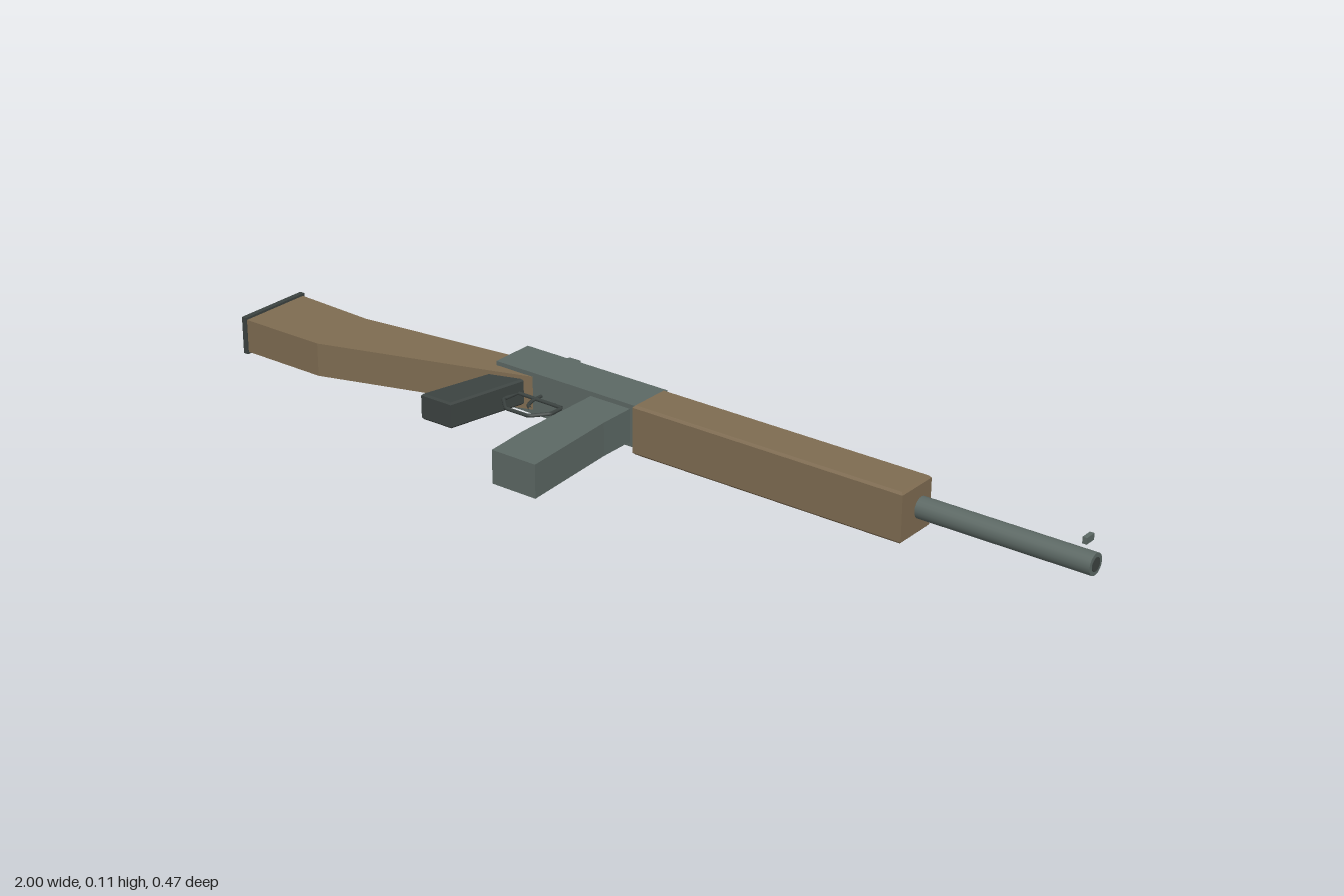
import * as THREE from 'three';

const MID = 0.055; // height of the centre plane; the rifle lies on its side

export function createModel() {
  const group = new THREE.Group();
  const material = (name, color) => {
    const m = new THREE.MeshStandardMaterial({ color });
    m.name = name;
    return m;
  };
  const steel = material('steel', 0x5c6864);
  const wood = material('wood', 0x7e6b51);
  const black = material('blackened metal', 0x3c4341);

  const add = (name, geometry, mat) => {
    const mesh = new THREE.Mesh(geometry, mat);
    mesh.name = name;
    group.add(mesh);
    return mesh;
  };

  // Side profile in (x, -z), given thickness along y, with optional chamfer
  const slab = (name, points, thickness, mat, bevel = 0) => {
    const shape = new THREE.Shape(points.map(([x, u]) => new THREE.Vector2(x, u)));
    const depth = thickness - 2 * bevel;
    const geometry = new THREE.ExtrudeGeometry(shape, {
      depth, bevelEnabled: bevel > 0, bevelSize: bevel, bevelThickness: bevel,
      bevelOffset: -bevel, bevelSegments: 1,
    });
    geometry.translate(0, 0, -depth / 2).rotateX(-Math.PI / 2).translate(0, MID, 0);
    return add(name, geometry, mat);
  };
  const rect = (x0, x1, u0, u1) => [[x0, u0], [x1, u0], [x1, u1], [x0, u1]];

  // Tube along straight segments in (x, -z)
  const wire = (name, points, radius, mat) => {
    const path = new THREE.CurvePath();
    const p = points.map(([x, u]) => new THREE.Vector3(x, MID, -u));
    for (let i = 1; i < p.length; i++) path.add(new THREE.LineCurve3(p[i - 1], p[i]));
    return add(name, new THREE.TubeGeometry(path, 48, radius, 6, false), mat);
  };

  // Furniture
  slab('stock', [[-0.99, -0.064], [-0.78, -0.064], [-0.4, 0.055], [-0.3, 0.088],
    [-0.3, 0.14], [-0.4, 0.145], [-0.79, 0.1], [-0.99, 0.11]], 0.075, wood);
  slab('buttPlate', rect(-1, -0.988, -0.067, 0.115), 0.085, black);
  slab('handguard', rect(-0.035, 0.615, 0.07, 0.172), 0.11, wood, 0.005);

  // Receiver and magazine
  slab('receiver', rect(-0.407, -0.035, 0.085, 0.187), 0.094, steel);
  slab('magazine', [[-0.155, 0.1], [-0.155, -0.13], [-0.147, -0.235],
    [-0.037, -0.235], [-0.053, 0], [-0.053, 0.1]], 0.074, steel);

  // Grip, trigger and guard
  slab('grip', [[-0.447, -0.107], [-0.367, -0.107], [-0.328, 0.08], [-0.4, 0.08]],
    0.058, black, 0.004);
  wire('triggerGuard', [[-0.335, 0.068], [-0.338, 0.025], [-0.305, -0.007],
    [-0.245, -0.007], [-0.215, 0.03], [-0.215, 0.066], [-0.335, 0.068]], 0.0045, black);
  wire('trigger', [[-0.287, 0.09], [-0.286, 0.055], [-0.279, 0.034], [-0.264, 0.022]],
    0.004, black);

  // Barrel and dark bore
  const barrel = new THREE.CylinderGeometry(0.023, 0.023, 0.4, 20);
  barrel.rotateZ(-Math.PI / 2).translate(0.799, MID, -0.137);
  add('barrel', barrel, steel);
  const bore = new THREE.CylinderGeometry(0.0145, 0.0145, 0.004, 20);
  bore.rotateZ(-Math.PI / 2).translate(0.998, MID, -0.137);
  add('bore', bore, black);

  // Sights
  slab('rearSight', rect(-0.33, -0.3, 0.212, 0.232), 0.051, steel);
  slab('frontSight', rect(0.929, 0.939, 0.208, 0.235), 0.014, steel);

  return group;
}
